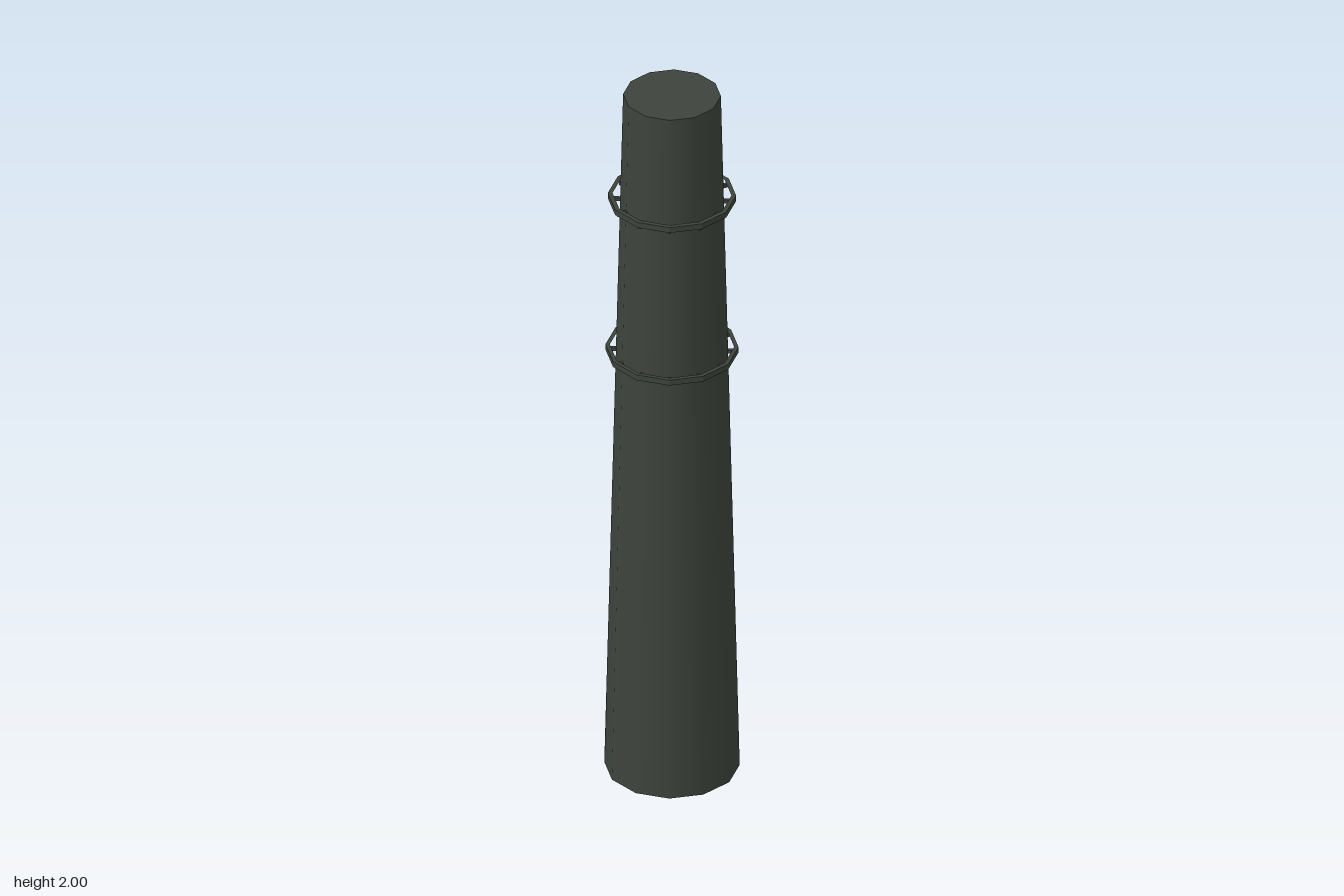
import * as THREE from 'three';

const SIDES = 12;
const BASE_R = 0.173, TOP_R = 0.125, HEIGHT = 2;
const radiusAt = (y) => BASE_R + (TOP_R - BASE_R) * (y / HEIGHT);

// Corners of a twelve-sided outline with a corner on each axis
function corners(r) {
  return Array.from({ length: SIDES }, (_, i) => {
    const a = (i / SIDES) * Math.PI * 2;
    return new THREE.Vector2(Math.sin(a) * r, Math.cos(a) * r);
  });
}

// Flat hoop with a rectangular section, standing clear of the shaft
function hoopGeometry(inner, outer, height) {
  const shape = new THREE.Shape(corners(outer));
  shape.holes.push(new THREE.Path(corners(inner)));
  const geo = new THREE.ExtrudeGeometry(shape, { depth: height, bevelEnabled: false });
  return geo.rotateX(-Math.PI / 2);
}

export function createModel() {
  const model = new THREE.Group();
  model.name = 'chimney';
  const darkIron = new THREE.MeshStandardMaterial({ color: 0x3d443c });
  darkIron.name = 'darkIron';

  const add = (parent, name, geo) => {
    const mesh = new THREE.Mesh(geo, darkIron);
    mesh.name = name;
    parent.add(mesh);
    return mesh;
  };

  const body = new THREE.Group();
  body.name = 'stack';
  body.position.z = 0.011;
  model.add(body);

  // Tapered shaft
  add(body, 'shaft', new THREE.CylinderGeometry(TOP_R, BASE_R, HEIGHT, SIDES)).position.y = HEIGHT / 2;

  // Two hoops carried on short brackets
  const hoops = [
    { name: 'upperHoop', y: 1.687, height: 0.016, inner: 0.152, outer: 0.164, drop: 0.006 },
    { name: 'lowerHoop', y: 1.234, height: 0.016, inner: 0.159, outer: 0.17, drop: 0.002 },
  ];
  for (const h of hoops) {
    const group = new THREE.Group();
    group.name = h.name;
    group.position.y = h.y;
    body.add(group);
    add(group, 'hoop', hoopGeometry(h.inner, h.outer, h.height));

    const start = radiusAt(h.y) - 0.008, end = h.inner + 0.006;
    for (let i = 0; i < SIDES; i++) {
      const geo = new THREE.BoxGeometry(0.008, 0.01, end - start);
      geo.translate(0, 0.005 - h.drop, (start + end) / 2);
      add(group, 'bracket', geo).rotation.y = (i / SIDES) * Math.PI * 2;
    }
  }

  // Slanted rod down the back, from the upper hoop to the ground
  const rod = new THREE.BoxGeometry(0.008, 1.692, 0.009).translate(0, 0.846, 0);
  const p = rod.attributes.position;
  for (let i = 0; i < p.count; i++) {
    p.setZ(i, p.getZ(i) - 0.18 + 0.029 * (p.getY(i) / 1.692));
  }
  rod.computeVertexNormals();
  add(model, 'backRod', rod);

  return model;
}
